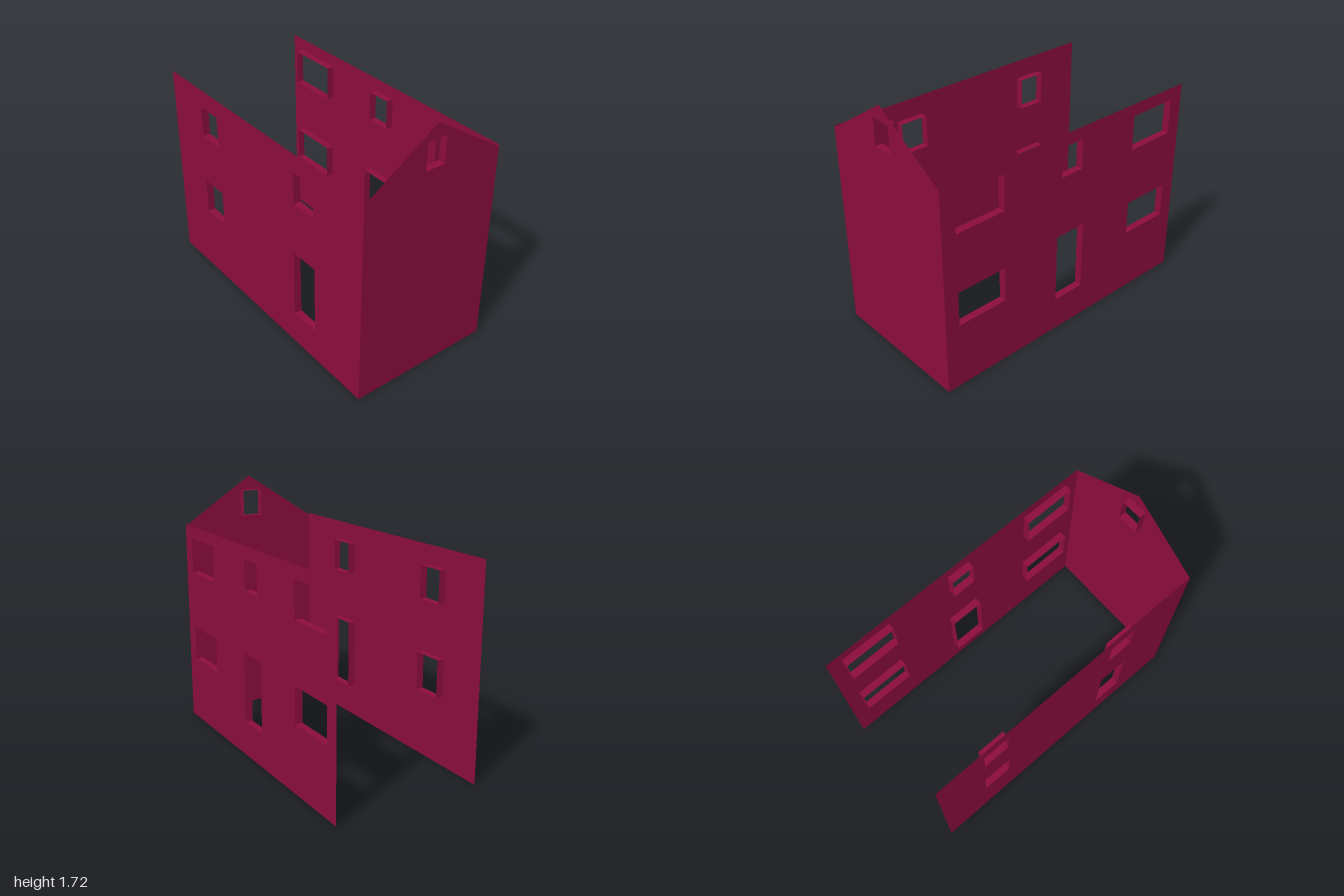
import * as THREE from 'three';
import { mergeGeometries } from 'three/addons/utils/BufferGeometryUtils.js';

const DEPTH = 0.05; // how far the reveals reach into the house

// Four faces lining an opening [u0, u1, v0, v1], running inward from the wall
function revealGeometry([u0, u1, v0, v1]) {
  const w = u1 - u0, h = v1 - v0, u = (u0 + u1) / 2, v = (v0 + v1) / 2, z = -DEPTH / 2;
  return mergeGeometries([
    new THREE.PlaneGeometry(DEPTH, h).rotateY(Math.PI / 2).translate(u0, v, z),
    new THREE.PlaneGeometry(DEPTH, h).rotateY(-Math.PI / 2).translate(u1, v, z),
    new THREE.PlaneGeometry(w, DEPTH).rotateX(-Math.PI / 2).translate(u, v0, z),
    new THREE.PlaneGeometry(w, DEPTH).rotateX(Math.PI / 2).translate(u, v1, z),
  ]);
}

// Thin sheet wall with cut openings; local +z is the outside
function makeWall(name, outline, openings, material) {
  const wall = new THREE.Group();
  wall.name = name;
  const shape = new THREE.Shape(outline.map(([x, y]) => new THREE.Vector2(x, y)));
  for (const { rect: [u0, u1, v0, v1] } of openings) {
    shape.holes.push(new THREE.Path([
      new THREE.Vector2(u0, v0), new THREE.Vector2(u0, v1),
      new THREE.Vector2(u1, v1), new THREE.Vector2(u1, v0),
    ]));
  }
  const sheet = new THREE.Mesh(new THREE.ShapeGeometry(shape), material);
  sheet.name = name + 'Sheet';
  wall.add(sheet);
  for (const { name: part, rect } of openings) {
    const reveal = new THREE.Mesh(revealGeometry(rect), material);
    reveal.name = part + 'Reveal';
    wall.add(reveal);
  }
  return wall;
}

export function createModel() {
  const house = new THREE.Group();
  house.name = 'houseShell';
  const maroon = new THREE.MeshStandardMaterial({ color: 0x8c0d3b, side: THREE.DoubleSide });
  maroon.name = 'maroon';

  const sideOutline = [[-1, 0], [1, 0], [1, 1.41], [-1, 1.41]];

  // Front gable wall with attic window
  const front = makeWall('frontWall',
    [[-0.5, 0], [0.5, 0], [0.5, 1.397], [0, 1.72], [-0.5, 1.397]],
    [{ name: 'atticWindow', rect: [-0.07, 0.07, 1.44, 1.62] }], maroon);
  front.position.z = 1;

  // Wall on +x: door, small window above it, wide windows either side
  const wideWindows = [];
  for (const [u0, u1] of [[-0.9, -0.545], [0.545, 0.9]]) {
    wideWindows.push({ name: 'upperWideWindow', rect: [u0, u1, 1.085, 1.325] });
    wideWindows.push({ name: 'lowerWideWindow', rect: [u0, u1, 0.45, 0.687] });
  }
  const doorSide = makeWall('leftWall', sideOutline, [
    { name: 'mainDoor', rect: [-0.115, 0.115, 0.232, 0.71] },
    { name: 'smallWindow', rect: [-0.083, 0.083, 1.123, 1.325] },
    ...wideWindows,
  ], maroon);
  doorSide.rotation.y = Math.PI / 2;
  doorSide.position.x = 0.5;

  // Wall on -x: side door toward the front, three narrow windows
  const farSide = makeWall('rightWall', sideOutline, [
    { name: 'sideDoor', rect: [0.357, 0.567, 0.232, 0.71] },
    { name: 'frontUpperWindow', rect: [0.367, 0.556, 1.068, 1.283] },
    { name: 'backUpperWindow', rect: [-0.648, -0.462, 1.068, 1.283] },
    { name: 'backLowerWindow', rect: [-0.66, -0.455, 0.465, 0.715] },
  ], maroon);
  farSide.rotation.y = -Math.PI / 2;
  farSide.position.x = -0.5;

  house.add(front, doorSide, farSide);
  return house;
}
